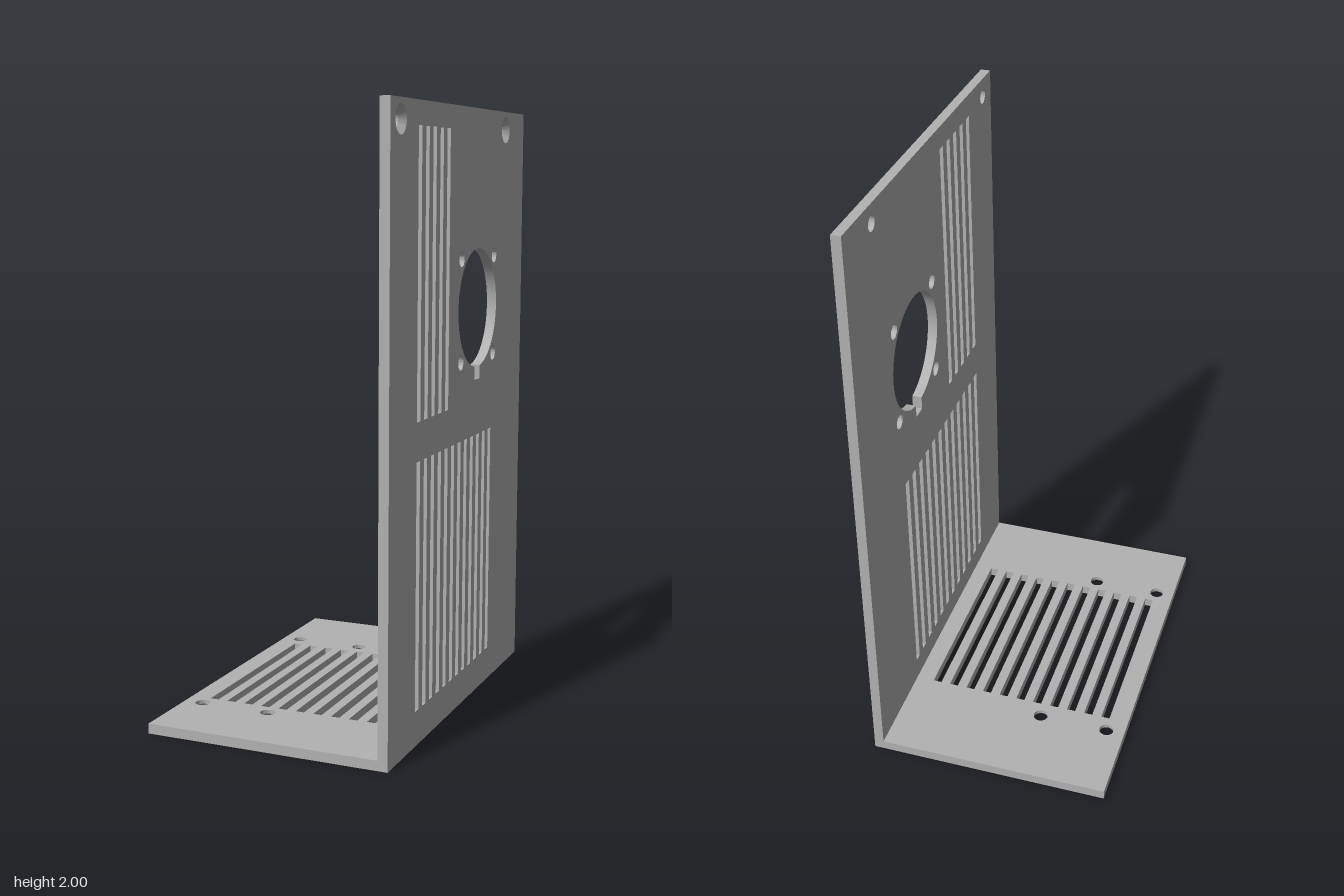
import * as THREE from 'three';
import { toCreasedNormals } from 'three/addons/utils/BufferGeometryUtils.js';

const T = 0.033;        // sheet thickness
const SINK = 0.02;      // depth of the screw countersinks
const HALF_X = 0.415, HALF_Z = 0.648, HEIGHT = 2;

const v2 = (x, y) => new THREE.Vector2(x, y);

// Outlines: the sheet edge runs anticlockwise, openings run clockwise
const rect = (x0, y0, x1, y1) => [v2(x0, y0), v2(x1, y0), v2(x1, y1), v2(x0, y1)];
const slot = (...r) => rect(...r).reverse();
const circle = (x, y, r, n = 32) => Array.from({ length: n }, (_, i) => {
  const a = -i / n * Math.PI * 2;
  return v2(x + r * Math.cos(a), y + r * Math.sin(a));
});
const straight = (loop) => [[loop, 0], [loop, T]];
const screwHole = (x, y) => [
  [circle(x, y, 0.025), 0], [circle(x, y, 0.025), T - SINK], [circle(x, y, 0.045), T],
];
const slotRow = (count, x, y0, y1) => Array.from({ length: count }, (_, i) =>
  straight(slot(x + i * 0.0635, y0, x + i * 0.0635 + 0.03, y1)));

// Fan opening with a square cable notch at the bottom
function fanOpening(x, y, r, halfNotch, notchY) {
  const a = Math.asin(halfNotch / r), n = 64, loop = [];
  for (let i = 0; i <= n; i++) {
    const t = -Math.PI / 2 - a - (i / n) * (2 * Math.PI - 2 * a);
    loop.push(v2(x + r * Math.cos(t), y + r * Math.sin(t)));
  }
  loop.push(v2(x + halfNotch, notchY), v2(x - halfNotch, notchY));
  return loop;
}

// Sheet in the xy plane from z = 0 to z = T; each opening is a stack of [loop, z]
function sheet(outline, openings) {
  const pos = [];
  const put = (p, z) => pos.push(p.x, p.y, z);

  // Inner and outer faces
  const cap = (level, z, flip) => {
    const holes = openings.map((o) => o.at(level)[0]);
    const points = [outline, ...holes].flat();
    for (const [a, b, c] of THREE.ShapeUtils.triangulateShape(outline, holes)) {
      for (const k of flip ? [a, c, b] : [a, b, c]) put(points[k], z);
    }
  };
  cap(0, 0, true);
  cap(-1, T, false);

  // Rim and the walls of the openings
  for (const stack of [straight(outline), ...openings]) {
    for (let s = 0; s + 1 < stack.length; s++) {
      const [lo, z0] = stack[s], [hi, z1] = stack[s + 1];
      lo.forEach((p, i) => {
        const j = (i + 1) % lo.length;
        put(p, z0); put(lo[j], z0); put(hi[j], z1);
        put(p, z0); put(hi[j], z1); put(hi[i], z1);
      });
    }
  }
  const g = new THREE.BufferGeometry();
  g.setAttribute('position', new THREE.Float32BufferAttribute(pos, 3));
  return toCreasedNormals(g, 0.5);
}

export function createModel() {
  const group = new THREE.Group();
  group.name = 'ventedBracket';
  const grey = new THREE.MeshStandardMaterial({ color: 0xb2b2b2 });
  grey.name = 'grey metal';

  const add = (name, geometry) => {
    const mesh = new THREE.Mesh(geometry, grey);
    mesh.name = name;
    group.add(mesh);
  };

  // Upright panel: sheet x runs towards -z, outer face looks to +x
  const fanX = 0.155, fanY = 1.342, fanBolt = 0.169;
  const panelOpenings = [
    ...slotRow(5, -0.419, 1.034, 1.926),
    ...slotRow(12, -0.419, 0.114, 0.91),
    straight(fanOpening(fanX, fanY, 0.199, 0.0265, 1.1)),
    screwHole(-0.564, 1.938),
    screwHole(0.437, 1.938),
  ];
  for (const sx of [-1, 1]) for (const sy of [-1, 1]) {
    panelOpenings.push(straight(circle(fanX + sx * fanBolt, fanY + sy * fanBolt, 0.0255)));
  }
  add('uprightPanel', sheet(rect(-HALF_Z, 0, HALF_Z, HEIGHT), panelOpenings)
    .rotateY(Math.PI / 2).translate(HALF_X - T, 0, 0));

  // Base plate: sheet y runs towards +z, outer face looks down
  const baseOpenings = slotRow(11, -0.346, -0.312, 0.355);
  for (const x of [-0.35, -0.108]) for (const z of [-0.369, 0.402]) {
    baseOpenings.push(screwHole(x, z));
  }
  add('basePlate', sheet(rect(-HALF_X, -HALF_Z, HALF_X - T, HALF_Z), baseOpenings)
    .rotateX(Math.PI / 2).translate(0, T, 0));

  return group;
}
